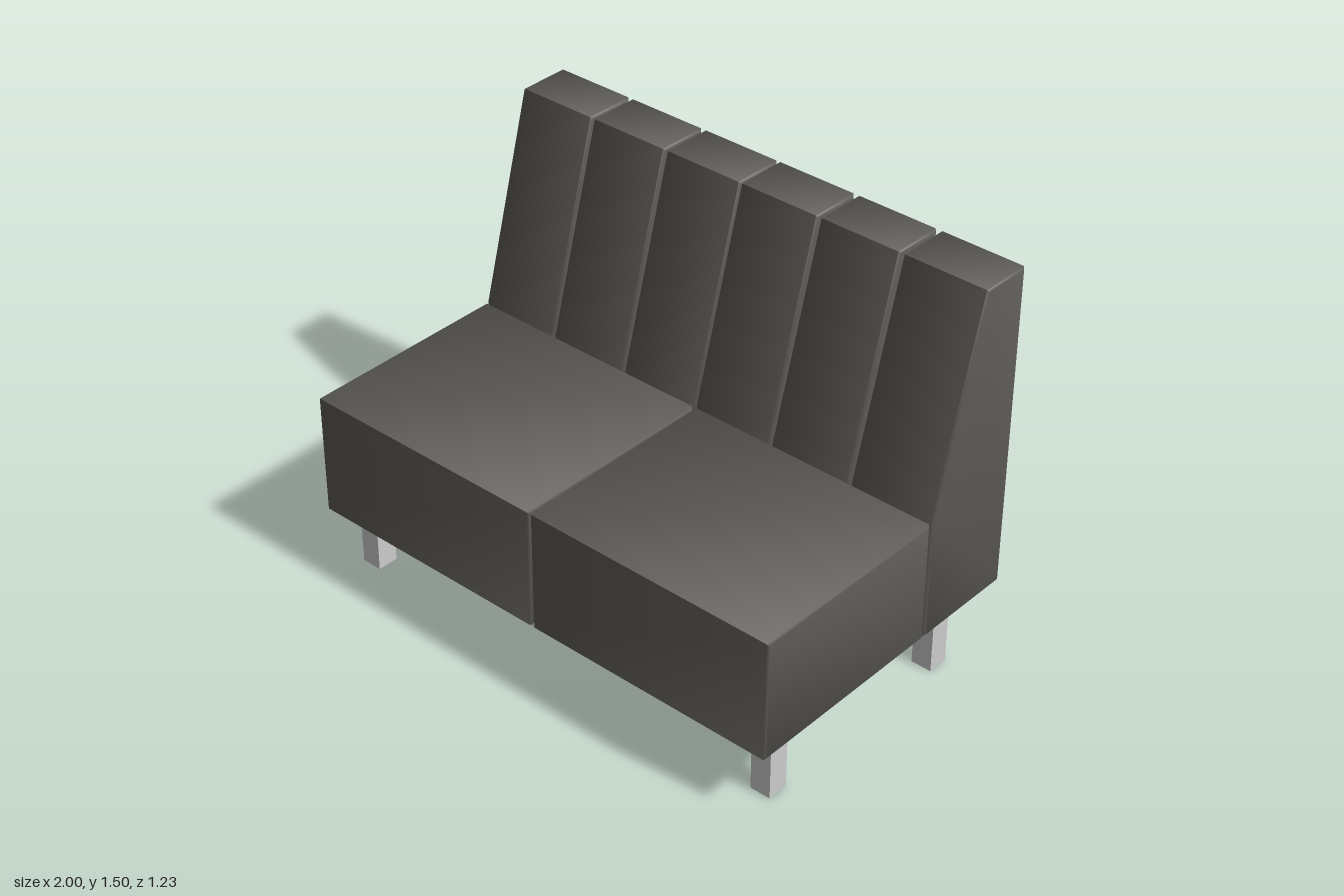
import * as THREE from 'three';
import { toCreasedNormals } from 'three/addons/utils/BufferGeometryUtils.js';

const fabric = new THREE.MeshStandardMaterial({ color: 0x5a5853 });
const frame = new THREE.MeshStandardMaterial({ color: 0xcccccc });

// Upholstered block: a [z, y] side profile swept from x0 to x1 with a slim soft edge
function paddedBlock(name, profile, x0, x1) {
  const b = 0.007;
  const shape = new THREE.Shape(profile.map(([z, y]) => new THREE.Vector2(z, y)));
  const geometry = new THREE.ExtrudeGeometry(shape, {
    depth: x1 - x0 - 2 * b, bevelThickness: b, bevelSize: b, bevelOffset: -b, bevelSegments: 1,
  });
  geometry.rotateY(-Math.PI / 2);
  geometry.translate(x1 - b, 0, 0);
  const mesh = new THREE.Mesh(toCreasedNormals(geometry, 0.9), fabric);
  mesh.name = name;
  return mesh;
}

// Plain box given by its minimum and maximum corners
function box(name, min, max) {
  const size = max.map((v, i) => v - min[i]);
  const mesh = new THREE.Mesh(new THREE.BoxGeometry(...size), frame);
  mesh.position.set(...max.map((v, i) => (v + min[i]) / 2));
  mesh.name = name;
  return mesh;
}

export function createModel() {
  const bench = new THREE.Group();
  bench.name = 'bench';

  // Two seat cushions side by side
  const seatProfile = [[-0.195, 0.262], [0.615, 0.262], [0.615, 0.727], [-0.195, 0.727]];
  bench.add(paddedBlock('rightSeatCushion', seatProfile, -1, -0.01));
  bench.add(paddedBlock('leftSeatCushion', seatProfile, -0.004, 0.996));

  // Six upright panels with a sloping front form the backrest
  const backProfile = [
    [-0.615, 0.262], [-0.203, 0.262], [-0.203, 0.725], [-0.422, 1.503], [-0.615, 1.503],
  ];
  const backrest = new THREE.Group();
  backrest.name = 'backrest';
  [-1, -0.668, -0.335, -0.008, 0.327, 0.664].forEach((x, i) => {
    backrest.add(paddedBlock(`backPanel${i + 1}`, backProfile, x, x + (i < 5 ? 0.324 : 0.332)));
  });
  bench.add(backrest);

  // Base board and four square legs
  bench.add(box('baseBoard', [-0.965, 0.228, -0.557], [0.958, 0.262, 0.582]));
  for (const x of [-0.945, 0.857]) {
    for (const z of [-0.42, 0.43]) {
      bench.add(box(z > 0 ? 'frontLeg' : 'backLeg', [x, 0, z], [x + 0.08, 0.228, z + 0.082]));
    }
  }
  return bench;
}
